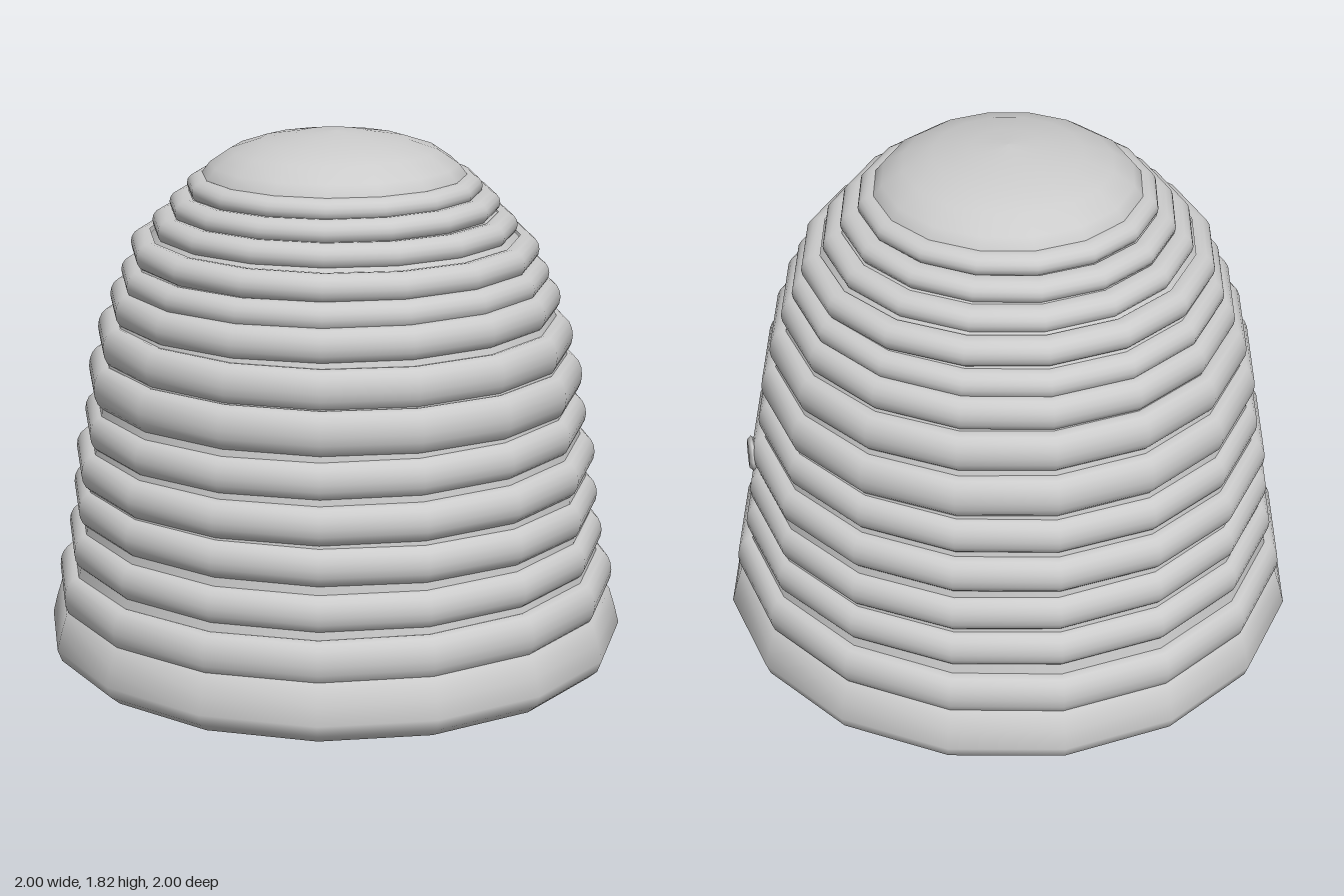
import * as THREE from 'three';

const SIDES = 16;
const material = new THREE.MeshStandardMaterial({ color: 0xcccccc, side: THREE.DoubleSide });

// Revolve a list of [radius, height] pairs
function lathe(name, points) {
  const profile = points.map(([r, y]) => new THREE.Vector2(r, y));
  const mesh = new THREE.Mesh(new THREE.LatheGeometry(profile, SIDES), material);
  mesh.name = name;
  return mesh;
}

// Coils from bottom to top: [outer radius, centre height, half height]
const COILS = [
  [0.97, 0.27, 0.075], [0.932, 0.425, 0.065], [0.912, 0.565, 0.065], [0.9, 0.705, 0.065],
  [0.867, 0.84, 0.065], [0.85, 0.985, 0.075], [0.815, 1.125, 0.07], [0.77, 1.25, 0.06],
  [0.73, 1.335, 0.05], [0.695, 1.425, 0.05], [0.62, 1.505, 0.045], [0.56, 1.575, 0.042],
  [0.5, 1.635, 0.04],
];

export function createModel() {
  const hive = new THREE.Group();
  hive.name = 'beehive';

  // Wall behind the coils
  hive.add(lathe('outerWall', [
    [0.95, 0.15], ...COILS.map(([r, y]) => [r - 0.035, y]), [0.42, 1.68],
  ]));

  // Smooth hollow inside
  hive.add(lathe('innerWall', [
    [0, 1.72], [0.2, 1.69], [0.38, 1.58], [0.52, 1.42], [0.64, 1.2],
    [0.73, 0.92], [0.78, 0.6], [0.82, 0.25], [0.84, 0.05],
  ]));

  // Rounded foot
  hive.add(lathe('baseRing', [
    [0.82, 0.14], [0.835, 0.05], [0.86, 0.015], [0.9, 0], [0.95, 0.015],
    [0.985, 0.045], [1, 0.085], [0.985, 0.145], [0.965, 0.21], [0.92, 0.23],
  ]));

  // Stacked coils, each tipped a little for a hand-wound look
  COILS.forEach(([r, y, h], i) => {
    const section = [];
    for (let k = 0; k <= 10; k++) {
      const a = (k / 10 - 0.5) * Math.PI * 1.2;
      section.push([r - 0.05 + 0.05 * Math.cos(a), h * Math.sin(a)]);
    }
    const coil = lathe(`coil${i + 1}`, section);
    coil.position.y = y;
    coil.rotation.set(0.006 * Math.sin(i * 2.3), 0, 0.008 * Math.cos(i * 1.7));
    hive.add(coil);
  });

  // Domed cap
  hive.add(lathe('cap', [
    [0.45, 1.64], [0.455, 1.665], [0.42, 1.71], [0.35, 1.757], [0.25, 1.79], [0.12, 1.812], [0, 1.82],
  ]));

  // Small faceted entrance on the left side, towards the back
  const entrance = new THREE.Group();
  entrance.name = 'entrance';
  const rim = new THREE.Mesh(new THREE.TorusGeometry(0.048, 0.014, 4, 6), material);
  rim.name = 'entranceRim';
  const hollow = new THREE.Mesh(new THREE.ConeGeometry(0.045, 0.04, 6, 1, true), material);
  hollow.name = 'entranceHollow';
  hollow.rotation.x = -Math.PI / 2;
  hollow.position.z = -0.018;
  entrance.add(rim, hollow);
  const angle = Math.atan2(0.33, 0.84);
  entrance.position.set(0.895 * Math.cos(angle), 0.7, -0.895 * Math.sin(angle));
  entrance.rotation.y = Math.PI / 2 + angle;
  hive.add(entrance);

  return hive;
}
